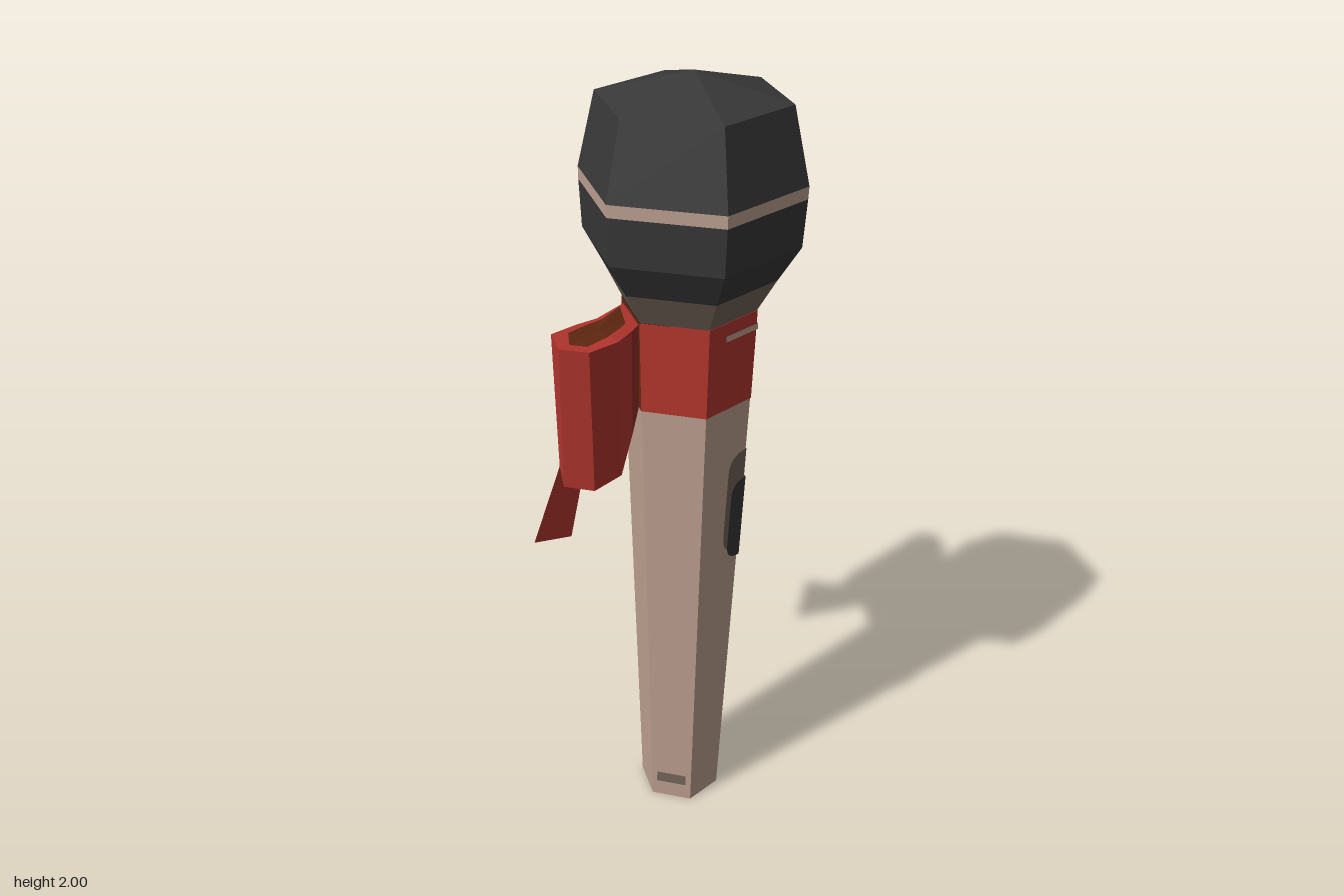
import * as THREE from 'three';

const mat = (name, color, side = THREE.FrontSide) =>
  Object.assign(new THREE.MeshStandardMaterial({ color, flatShading: true, side }), { name });

export function createModel() {
  const tan = mat('tan handle', 0xbfa292, THREE.DoubleSide);
  const taupe = mat('dark taupe', 0x74655a, THREE.DoubleSide);
  const black = mat('charcoal', 0x383838, THREE.DoubleSide);
  const red = mat('ribbon red', 0xb7372f, THREE.DoubleSide);
  const darkRed = mat('shaded red', 0x922c25, THREE.DoubleSide);
  const brown = mat('fold brown', 0x632912, THREE.DoubleSide);

  const model = new THREE.Group();
  const mic = new THREE.Group();
  mic.name = 'microphone';
  mic.position.set(0.092, 0, 0.098);
  mic.rotation.y = 0.585; // one hexagon edge of the handle points forward
  model.add(mic);

  const add = (name, geometry, material) => {
    const mesh = new THREE.Mesh(geometry, material);
    mesh.name = name;
    mic.add(mesh);
    return mesh;
  };

  // Six-sided ring between two heights
  const ring = (name, y0, r0, y1, r1, material, open = true, start = 0, sides = 6) => {
    const g = new THREE.CylinderGeometry(r1, r0, y1 - y0, sides, 1, open, start, sides * Math.PI / 3);
    g.translate(0, (y0 + y1) / 2, 0);
    return add(name, g, material);
  };

  // Polygons given as lists of [x, y, z] corners, fanned from the middle
  const faces = (name, polygons, material) => {
    const pos = [];
    for (const poly of polygons) {
      const mid = [0, 1, 2].map(k => poly.reduce((s, p) => s + p[k], 0) / poly.length);
      poly.forEach((p, i) => pos.push(...mid, ...p, ...poly[(i + 1) % poly.length]));
    }
    const g = new THREE.BufferGeometry();
    g.setAttribute('position', new THREE.Float32BufferAttribute(pos, 3));
    g.computeVertexNormals();
    return add(name, g, material);
  };

  // Handle, neck and head
  const third = Math.PI / 3;
  ring('handle', 0, 0.107, 1.22, 0.156, tan, false);
  ring('ribbonBandFront', 1.22, 0.158, 1.45, 0.165, red, true, -2 * third, 4);
  ring('ribbonBandBack', 1.22, 0.158, 1.45, 0.165, brown, true, 2 * third, 2);
  ring('neck', 1.45, 0.163, 1.53, 0.208, taupe);
  ring('headBase', 1.53, 0.208, 1.615, 0.26, black);
  ring('headLower', 1.615, 0.26, 1.73, 0.267, black);
  ring('headStripe', 1.73, 0.267, 1.76, 0.268, tan);
  ring('headUpper', 1.76, 0.268, 1.94, 0.227, black);
  ring('headTop', 1.94, 0.227, 2, 0, black);

  // Painted details: glint on the band, marks near the foot
  for (const s of [-1, 1]) {
    const w = 0.095, z = x => 0.167 - x * 0.577;
    faces('bandGlint', [[[0, 1.403, z(0)], [s * w, 1.403, z(w)], [s * w, 1.418, z(w)], [0, 1.418, z(0)]]], tan);
    const mark = add('footMark', new THREE.BoxGeometry(0.004, 0.03, 0.08), taupe);
    mark.position.set(s * 0.096, 0.065, 0);
  }

  // Switch: rounded plates folded over the front edge of the handle
  const folded = (name, y0, y1, w, lift, material) => {
    for (const s of [-1, 1]) {
      const shape = new THREE.Shape();
      shape.moveTo(0, y0);
      shape.quadraticCurveTo(s * w, y0, s * w, y0 + w);
      shape.lineTo(s * w, y1 - w);
      shape.quadraticCurveTo(s * w, y1, 0, y1);
      const g = new THREE.ShapeGeometry(shape, 6);
      const p = g.attributes.position;
      for (let i = 0; i < p.count; i++) {
        p.setZ(i, 0.107 + 0.0402 * p.getY(i) - Math.abs(p.getX(i)) * 0.577 + lift);
      }
      g.computeVertexNormals();
      add(name, g, material);
    }
  };
  folded('switchRecess', 0.79, 1.08, 0.052, 0.002, taupe);
  folded('switch', 0.77, 1.0, 0.042, 0.006, black);

  // Bow loop outline: top x, top z, top y, bottom x, bottom z, bottom y
  const outline = [
    [0.13, -0.088, 1.44, 0.13, -0.088, 1.22],
    [0.20, -0.085, 1.455, 0.19, -0.086, 1.185],
    [0.335, -0.079, 1.49, 0.29, -0.085, 1.13],
    [0.424, -0.118, 1.50, 0.375, -0.125, 1.13],
    [0.424, -0.187, 1.50, 0.375, -0.198, 1.13],
    [0.335, -0.232, 1.49, 0.29, -0.235, 1.13],
    [0.21, -0.214, 1.46, 0.19, -0.212, 1.185],
    [0.12, -0.19, 1.44, 0.12, -0.187, 1.22],
    [0.02, -0.155, 1.44, 0.02, -0.155, 1.22],
  ];
  for (const s of [-1, 1]) {
    const top = outline.map(p => [s * p[0], p[2], p[1]]);
    const bottom = outline.map(p => [s * p[3], p[5], p[4]]);
    const wall = i => [bottom[i], bottom[i + 1], top[i + 1], top[i]];
    faces('bowLoop', [1, 2, 3, 4, 5].map(wall), red);
    faces('bowLoopInner', [0, 6].map(wall), darkRed);
    faces('bowKnotBack', [wall(7)], brown);
    faces('bowLoopRim', [top, bottom], red);

    // Dark opening set into each rim
    const inset = (loop, lift) => {
      const mid = [0, 1, 2].map(k => loop.reduce((a, p) => a + p[k], 0) / loop.length);
      return loop.map(p => p.map((v, k) => mid[k] + (v - mid[k]) * (k === 2 ? 0.58 : 0.83) + (k === 1 ? lift : 0)));
    };
    faces('bowLoopOpening', [inset(top, 0.004), inset(bottom, -0.004)], brown);

    // Ribbon tail
    faces('ribbonTail', [[
      [s * 0.09, 1.30, -0.185], [s * 0.17, 1.30, -0.2],
      [s * 0.382, 0.97, -0.272], [s * 0.22, 0.895, -0.233],
    ]], red);
  }
  return model;
}
